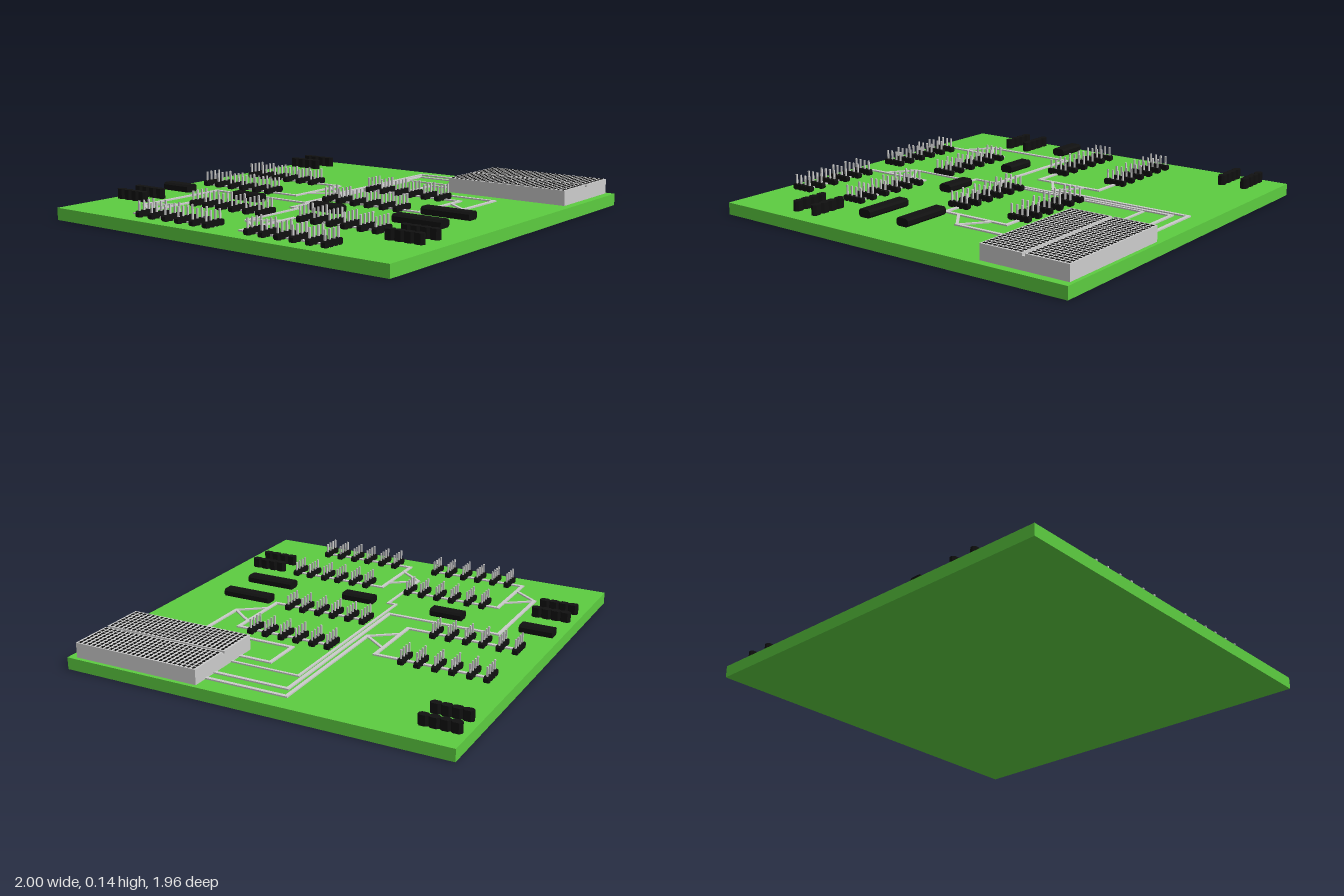
import * as THREE from 'three';
import { mergeGeometries } from 'three/addons/utils/BufferGeometryUtils.js';

const grey = new THREE.MeshStandardMaterial({ color: 0xcccccc });
const green = new THREE.MeshStandardMaterial({ color: 0x5ccc40 });
const black = new THREE.MeshStandardMaterial({ color: 0x111111 });

const TOP = 0.06; // upper face of the board

// Box given by centre x, z, bottom y and sizes
function box(x, y, z, w, h, d) {
  return new THREE.BoxGeometry(w, h, d).translate(x, y + h / 2, z);
}

// Bar with chamfered corners, its section in x-y, running along z, centred on the origin
function chamferedBar(w, h, d, c) {
  const a = w / 2, b = h / 2;
  const s = new THREE.Shape([
    [-a + c, -b], [a - c, -b], [a, -b + c], [a, b - c],
    [a - c, b], [-a + c, b], [-a, b - c], [-a, -b + c],
  ].map(([x, y]) => new THREE.Vector2(x, y)));
  return new THREE.ExtrudeGeometry(s, { depth: d, bevelEnabled: false }).translate(0, 0, -d / 2);
}

function add(group, name, parts, material) {
  const mesh = new THREE.Mesh(mergeGeometries(parts), material);
  mesh.name = name;
  group.add(mesh);
}

// Flat copper track following x, z points
function track(points, width = 0.018) {
  const parts = [];
  for (let i = 1; i < points.length; i++) {
    const [x0, z0] = points[i - 1], [x1, z1] = points[i];
    const len = Math.hypot(x1 - x0, z1 - z0);
    parts.push(new THREE.BoxGeometry(len + width, 0.008 - i * 0.0002, width)
      .rotateY(-Math.atan2(z1 - z0, x1 - x0))
      .translate((x0 + x1) / 2, TOP + 0.003, (z0 + z1) / 2));
  }
  return parts;
}

// Two rows of six four-pin headers, standing across x
function headerBank(group, name, xs, z0) {
  const bodies = [], pins = [];
  for (const x of xs) {
    for (const dz of [0, 0.082, 0.17, 0.253, 0.342, 0.424]) {
      for (let i = 0; i < 4; i++) {
        const px = x + (i - 1.5) * 0.03;
        bodies.push(chamferedBar(0.0305, 0.03, 0.025, 0.007).translate(px, TOP + 0.015, z0 + dz));
        pins.push(box(px, TOP, z0 + dz, 0.008, 0.077, 0.008));
      }
    }
  }
  add(group, name + 'Bodies', bodies, black);
  add(group, name + 'Pins', pins, grey);
}

export function createModel() {
  const model = new THREE.Group();

  add(model, 'board', [box(0, 0, 0, 2, TOP, 1.964)], green);

  // Header banks
  headerBank(model, 'backRightHeader', [-0.88, -0.525], -0.49);
  headerBank(model, 'frontRightHeader', [-0.88, -0.525], 0.18);
  headerBank(model, 'backMiddleHeader', [-0.045, 0.31], -0.855);
  headerBank(model, 'frontMiddleHeader', [-0.05, 0.31], -0.045);

  // Jumper strips: four octagonal beads in line along z
  const beads = [];
  for (const [x, z] of [[-0.63, -0.853], [-0.51, -0.853], [0.737, -0.853], [0.862, -0.853], [-0.63, 0.797], [-0.51, 0.797]]) {
    for (let i = 0; i < 4; i++) {
      beads.push(chamferedBar(0.035, 0.05, 0.05, 0.011).rotateX(-Math.PI / 2)
        .translate(x, TOP + 0.025, z + (i - 1.5) * 0.05));
    }
  }
  add(model, 'jumperStrips', beads, black);

  // Chips
  const chips = [[-0.29, -0.86, 0.17], [-0.29, -0.383, 0.17], [-0.29, 0.118, 0.17], [-0.29, 0.645, 0.265], [-0.055, 0.645, 0.265]];
  add(model, 'chips', chips.map(([x, z, d]) =>
    chamferedBar(0.07, 0.04, d, 0.01).translate(x, TOP + 0.021, z)), black);

  // Tracks: a bracket joining each bank, a triangle, then a run to the connector
  const tracks = [];
  function bankTracks(xa, xb, zEnd, zBar, tip, run, width) {
    tracks.push(...track([[xa, zEnd], [xa, zBar], [xb, zBar], [xb, zEnd]]));
    tracks.push(...track([[tip[0] - 0.1, zBar], tip, [tip[0] + 0.1, zBar]], 0.014));
    tracks.push(...track([tip, ...run], width));
  }
  bankTracks(-0.88, -0.52, -0.065, -0.563, [-0.695, -0.698],
    [[-0.185, -0.698], [-0.185, -0.107], [0.828, -0.107], [0.828, 0.3]]);
  bankTracks(-0.88, -0.52, 0.605, 0.1, [-0.695, -0.035],
    [[-0.32, -0.035], [-0.32, -0.08], [0.688, -0.08], [0.688, 0.3]], 0.013);
  bankTracks(-0.052, 0.31, -0.855, -0.275, [0.128, -0.142],
    [[0.898, -0.142], [0.898, 0.3]]);
  bankTracks(-0.052, 0.31, -0.045, 0.478, [0.128, 0.61],
    [[0.418, 0.61], [0.418, 0.11], [0.617, 0.11], [0.617, 0.3]]);
  add(model, 'tracks', tracks, grey);

  // Connector block: two halves with a shallow groove between them
  const zc = 0.608, depth = 0.665, height = 0.075;
  add(model, 'connectorBlock', [
    box(0.635, TOP, zc, 0.22, height, depth),
    box(0.87, TOP, zc, 0.22, height, depth),
    box(0.7525, TOP, zc, 0.015, height - 0.012, depth),
  ], grey);

  // Sockets in the block
  const sockets = [];
  for (const x of [0.635, 0.87]) {
    for (let i = 0; i < 8; i++) {
      for (let j = 0; j < 26; j++) {
        sockets.push(box(x + (i - 3.5) * 0.0265, TOP + height - 0.004, zc + (j - 12.5) * 0.0252, 0.019, 0.005, 0.0135));
      }
    }
  }
  add(model, 'connectorSockets', sockets, black);

  return model;
}
